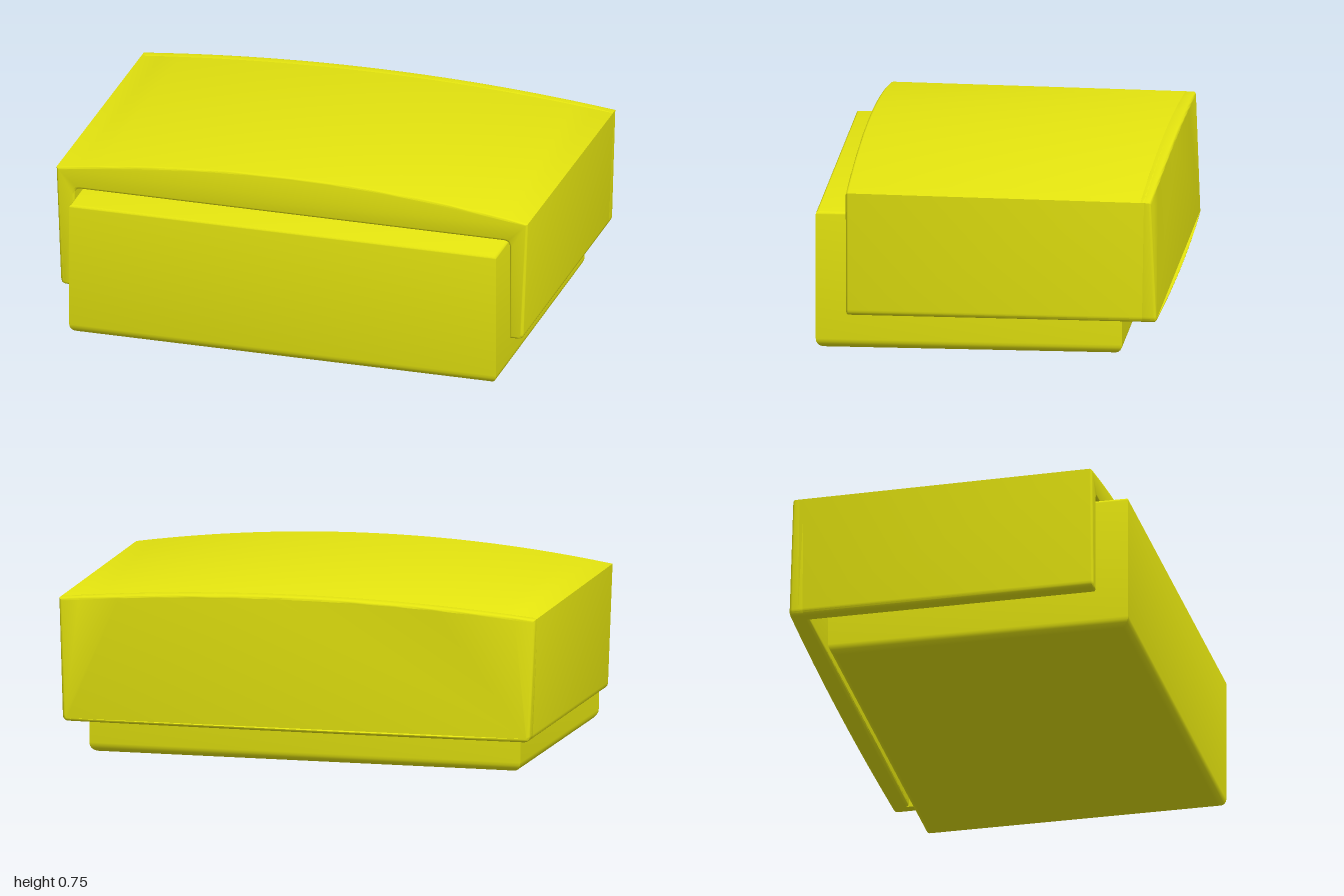
import * as THREE from 'three';
import { toCreasedNormals } from 'three/addons/utils/BufferGeometryUtils.js';

const FRONT = 0.575, BACK = -0.685, LIP = 0.155, CEILING = 0.585;

// Moves every vertex of a geometry by a rule, then smooths the gentle edges
function warp(geometry, rule) {
  const p = geometry.attributes.position, v = new THREE.Vector3();
  for (let i = 0; i < p.count; i++) {
    rule(v.fromBufferAttribute(p, i));
    p.setXYZ(i, v.x, v.y, v.z);
  }
  return toCreasedNormals(geometry, 0.6);
}

// Extrusion from zMin to zMax whose bevel stays inside the outline
function bevelled(shape, zMin, zMax, bevel, segments) {
  const g = new THREE.ExtrudeGeometry(shape, {
    depth: zMax - zMin - 2 * bevel, bevelEnabled: true, bevelThickness: bevel,
    bevelSize: bevel, bevelOffset: -bevel, bevelSegments: segments, curveSegments: 5,
  });
  return g.translate(0, 0, zMin + bevel);
}

// Outer outline of the lid: tapered sides and an arched top, from left foot to right foot
function lidOutline(shape) {
  const r = 0.025;
  shape.moveTo(-0.98 + r, LIP);
  shape.quadraticCurveTo(-0.98, LIP, -0.981, LIP + r);
  for (let i = 0; i <= 24; i++) {
    const x = -1 + i / 12;
    shape.lineTo(x, 0.67 + 0.08 * (1 - x * x));
  }
  shape.lineTo(0.981, LIP + r);
  shape.quadraticCurveTo(0.98, LIP, 0.98 - r, LIP);
  return shape;
}

// Lid rule: the top falls toward the back, the back wall leans and bulges
function shapeLid(v) {
  const s = (FRONT - v.z) / (FRONT - BACK);
  if (v.y > 0.62) v.y -= s * (0.015 + 0.03 * (1 - v.x * v.x));
  else if (v.y < 0.2) v.y -= s * 0.004;
  const w = THREE.MathUtils.clamp((-0.61 - v.z) / 0.075, 0, 1);
  const t = (v.y - LIP) / 0.55;
  v.z += w * (-0.019 + 0.022 * t + 0.014 * v.x * v.x);
}

export function createModel() {
  const model = new THREE.Group();
  const yellow = new THREE.MeshStandardMaterial({ color: 0xe6e60f });
  const add = (parent, name, geometry) => {
    const mesh = new THREE.Mesh(geometry, yellow);
    mesh.name = name;
    parent.add(mesh);
  };

  // Inner block: wide rounding at the bottom, tight rounding at the top
  const hx = 0.905, hz = 0.625, height = 0.57, r = 0.04;
  const base = new THREE.Shape();
  base.moveTo(-hx, -hz).lineTo(hx, -hz).lineTo(hx, hz).lineTo(-hx, hz).closePath();
  const block = bevelled(base, 0, height, r, 5).rotateX(-Math.PI / 2);
  const tighten = (c, half) => Math.sign(c) * (half - (half - Math.abs(c)) * 0.3);
  add(model, 'innerBlock', warp(block, v => {
    if (v.y > height / 2) {
      v.x = tighten(v.x, hx);
      v.z = tighten(v.z, hz);
      v.y = height - (height - v.y) * 0.3;
    }
    v.z += 0.08;
  }));

  // Lid: an arched sleeve, open at the front and below
  const lid = new THREE.Group();
  lid.name = 'lid';
  model.add(lid);
  const ix = 0.922, ir = 0.025;
  const sleeve = lidOutline(new THREE.Shape());
  sleeve.lineTo(ix, LIP);
  sleeve.lineTo(ix, CEILING - ir);
  sleeve.quadraticCurveTo(ix, CEILING, ix - ir, CEILING);
  sleeve.lineTo(-ix + ir, CEILING);
  sleeve.quadraticCurveTo(-ix, CEILING, -ix, CEILING - ir);
  sleeve.lineTo(-ix, LIP);
  sleeve.closePath();
  add(lid, 'sleeve', warp(bevelled(sleeve, -0.66, FRONT, 0.01, 3), shapeLid));

  // Back wall closing the sleeve
  const wall = lidOutline(new THREE.Shape());
  for (let i = 11; i > -12; i--) wall.lineTo(i / 12.5, LIP);
  wall.closePath();
  add(lid, 'backWall', warp(bevelled(wall, -0.685, -0.62, 0.012, 3), shapeLid));

  return model;
}
